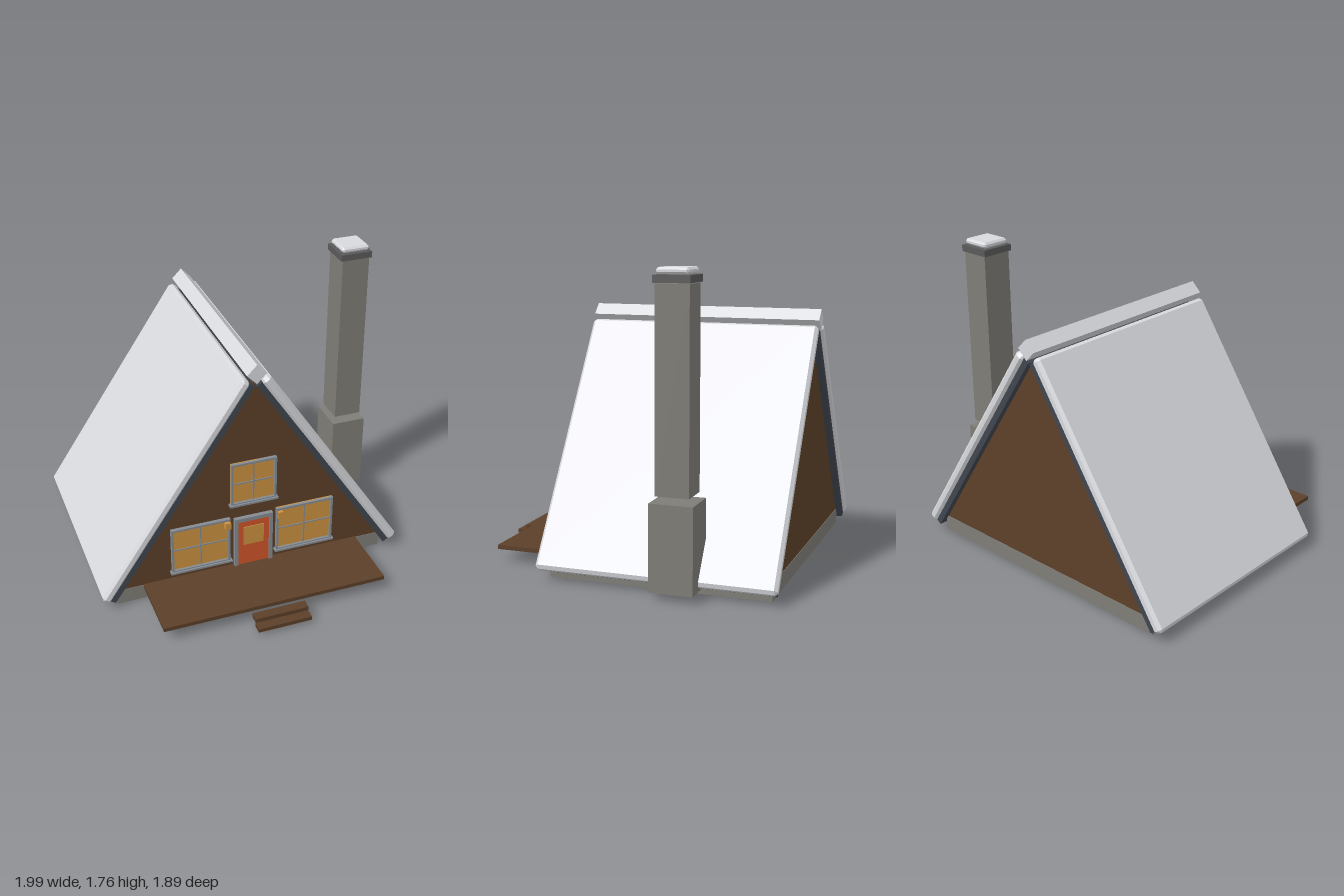
import * as THREE from 'three';
import { ConvexGeometry } from 'three/addons/geometries/ConvexGeometry.js';

const mat = (name, color) => {
  const m = new THREE.MeshStandardMaterial({ color });
  m.name = name;
  return m;
};

// Box with all edges cut at an angle
function chamferBox(w, h, d, c) {
  const pts = [];
  for (const x of [-1, 1]) for (const y of [-1, 1]) for (const z of [-1, 1]) {
    const a = w / 2, b = h / 2, e = d / 2;
    pts.push(
      new THREE.Vector3(x * a, y * (b - c), z * (e - c)),
      new THREE.Vector3(x * (a - c), y * b, z * (e - c)),
      new THREE.Vector3(x * (a - c), y * (b - c), z * e));
  }
  return new ConvexGeometry(pts);
}

export function createModel() {
  const wood = mat('brown wood', 0x5c4029);
  const stone = mat('grey stone', 0x7f7d76);
  const capStone = mat('dark stone', 0x5a5a5a);
  const snow = mat('pale snow', 0xd8d9dd);
  const roofing = mat('slate roofing', 0x40454e);
  const trim = mat('grey trim', 0x858b92);
  const glass = mat('amber glass', 0xcb9140);
  const red = mat('red door paint', 0xcf5529);

  const model = new THREE.Group();
  model.name = 'cabin';
  const house = new THREE.Group();
  house.name = 'house';
  house.position.set(-0.043, 0, -0.245);
  model.add(house);

  const add = (parent, name, geometry, material, x = 0, y = 0, z = 0) => {
    const m = new THREE.Mesh(geometry, material);
    m.name = name;
    m.position.set(x, y, z);
    parent.add(m);
    return m;
  };
  // Box given by its lower and upper limits
  const span = (parent, name, material, x0, x1, y0, y1, z0, z1) =>
    add(parent, name, new THREE.BoxGeometry(x1 - x0, y1 - y0, z1 - z0), material,
      (x0 + x1) / 2, (y0 + y1) / 2, (z0 + z1) / 2);

  // Foundation and triangular body
  span(house, 'foundation', stone, -0.855, 0.855, 0, 0.095, -0.645, 0.645);
  const gable = new THREE.Shape([
    new THREE.Vector2(-0.84, 0.09), new THREE.Vector2(0.84, 0.09), new THREE.Vector2(0, 1.35)]);
  const body = new THREE.ExtrudeGeometry(gable, { depth: 1.284, bevelEnabled: false });
  add(house, 'walls', body, wood, 0, 0, -0.642);

  // Two roof slopes: roofing board with a bevelled snow layer
  for (const side of ['left', 'right']) {
    const half = new THREE.Group();
    half.name = side + 'RoofSlope';
    if (side === 'right') half.rotation.y = Math.PI;
    const slope = new THREE.Group();
    slope.name = side + 'RoofLayers';
    slope.position.y = 1.35;
    slope.rotation.z = -Math.atan(1.5);
    span(slope, 'roofBoard', roofing, 0.01, 1.577, 0, 0.04, -0.68, 0.68);
    add(slope, 'roofSnow', chamferBox(1.59, 0.063, 1.39, 0.018), snow, 0.795, 0.066, 0);
    half.add(slope);
    house.add(half);
  }
  const ridge = add(house, 'ridgeCap', new THREE.BoxGeometry(0.085, 0.085, 1.39), snow, 0, 1.425, 0);
  ridge.rotation.z = Math.PI / 4;

  // Deck and steps
  span(house, 'deck', wood, -0.692, 0.692, 0.075, 0.1, 0.64, 1.062);
  span(house, 'upperStep', wood, -0.165, 0.165, 0.052, 0.079, 1.085, 1.143);
  span(house, 'lowerStep', wood, -0.165, 0.165, 0.022, 0.047, 1.138, 1.195);

  // Windows with frame, cross bars and sill
  const front = 0.642;
  const addWindow = (name, cx, cy, w, h) => {
    const g = new THREE.Group();
    g.name = name;
    g.position.set(cx, cy, front);
    house.add(g);
    const a = w / 2, b = h / 2, t = 0.013;
    span(g, 'pane', glass, -a, a, -b, b, 0, 0.008);
    for (const s of [-1, 1]) {
      add(g, 'frameSide', new THREE.BoxGeometry(t, h, 0.024), trim, s * (a - t / 2), 0, 0.012);
      add(g, 'frameRail', new THREE.BoxGeometry(w, t, 0.024), trim, 0, s * (b - t / 2), 0.012);
    }
    add(g, 'crossBarUpright', new THREE.BoxGeometry(0.008, h, 0.014), trim, 0, 0, 0.007);
    add(g, 'crossBarLevel', new THREE.BoxGeometry(w, 0.008, 0.014), trim, 0, 0, 0.007);
    add(g, 'sill', new THREE.BoxGeometry(w + 0.02, 0.012, 0.035), trim, 0, -b, 0.0175);
  };
  addWindow('leftWindow', 0.332, 0.305, 0.368, 0.308);
  addWindow('rightWindow', -0.332, 0.305, 0.368, 0.308);
  addWindow('upperWindow', 0, 0.692, 0.285, 0.285);

  // Door with frame and pane, lanterns on both sides
  span(house, 'door', red, -0.1, 0.1, 0.1, 0.42, front, front + 0.018);
  span(house, 'doorPane', glass, -0.065, 0.065, 0.245, 0.375, front + 0.018, front + 0.023);
  span(house, 'doorHead', trim, -0.122, 0.122, 0.42, 0.445, front, front + 0.027);
  for (const s of [-1, 1]) {
    add(house, 'doorPost', new THREE.BoxGeometry(0.022, 0.32, 0.027), trim, s * 0.111, 0.26, front + 0.0135);
    add(house, 'lantern', new THREE.BoxGeometry(0.033, 0.045, 0.035), glass, s * 0.167, 0.42, front + 0.025);
  }

  // Chimney
  const chimney = new THREE.Group();
  chimney.name = 'chimney';
  chimney.position.set(0.887, 0, -0.385);
  model.add(chimney);
  add(chimney, 'chimneyBase', new THREE.BoxGeometry(0.222, 0.485, 0.248), stone, 0, 0.283, 0);
  add(chimney, 'chimneyStack', new THREE.BoxGeometry(0.178, 1.112, 0.19), stone, 0, 1.117, 0);
  add(chimney, 'chimneyCap', new THREE.BoxGeometry(0.205, 0.04, 0.208), capStone, 0, 1.697, 0);
  add(chimney, 'chimneySnow', chamferBox(0.18, 0.036, 0.18, 0.012), snow, 0, 1.738, 0);
  return model;
}
